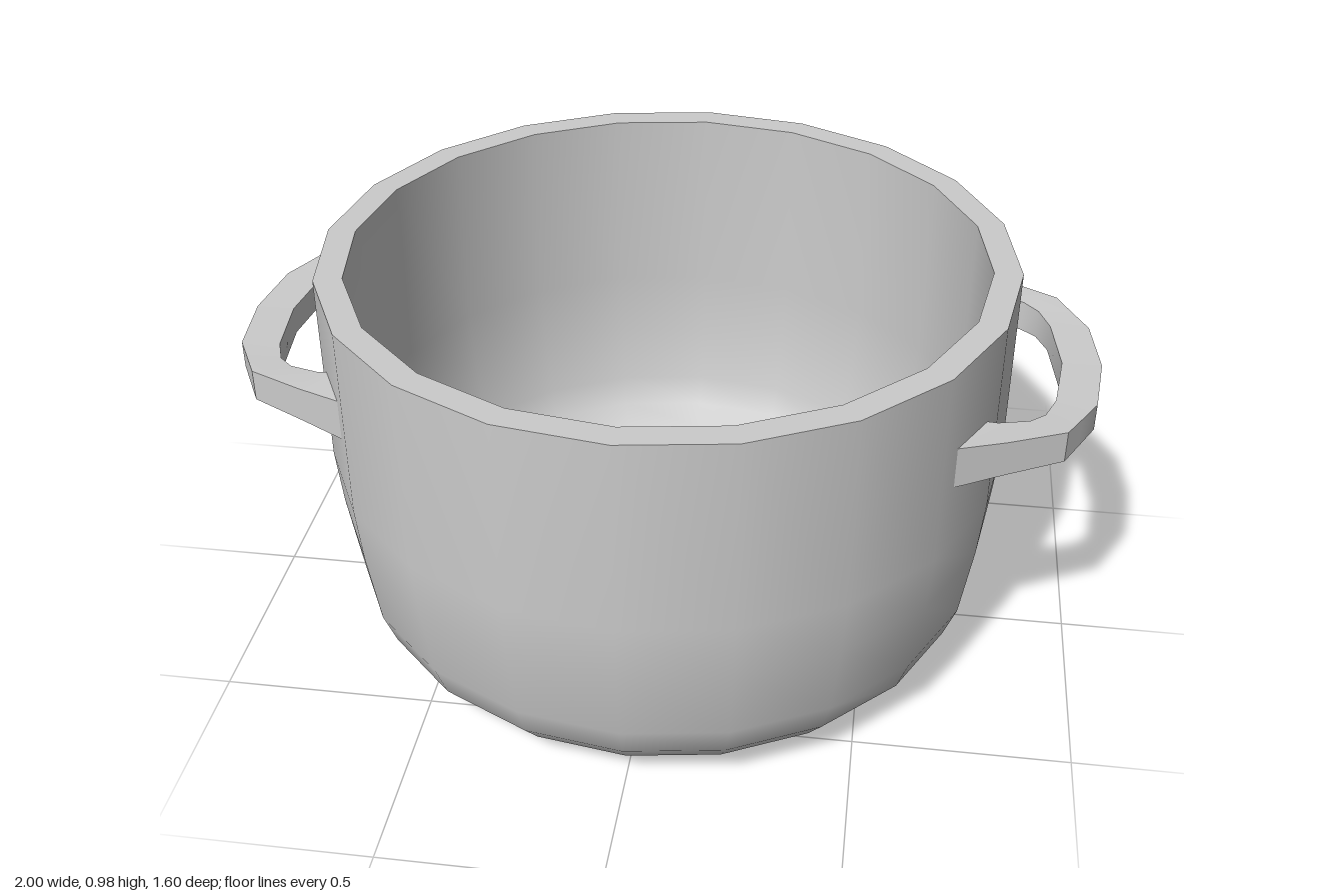
import * as THREE from 'three';
import { toCreasedNormals } from 'three/addons/utils/BufferGeometryUtils.js';

const SIDES = 20;
const material = new THREE.MeshStandardMaterial({ color: 0xcccccc });

// Revolved surface; each one is smooth inside and sharp at its ends
function turned(name, profile) {
  const points = profile.map(([r, y]) => new THREE.Vector2(r, y));
  const mesh = new THREE.Mesh(new THREE.LatheGeometry(points, SIDES), material);
  mesh.name = name;
  return mesh;
}

// Half of the handle: outer x, z, inner x, z, bottom y, top y
const HALF = [
  [0.67, 0.42, 0.70, 0.30, 0.68, 0.78],
  [0.78, 0.365, 0.76, 0.29, 0.686, 0.77],
  [0.91, 0.30, 0.83, 0.265, 0.69, 0.765],
  [0.945, 0.235, 0.865, 0.23, 0.692, 0.762],
  [0.98, 0.17, 0.89, 0.165, 0.695, 0.76],
  [1.00, 0, 0.91, 0, 0.695, 0.76],
];

// Sweep of rectangular sections along the loop
function handleGeometry() {
  const mirrored = HALF.slice(0, -1).reverse()
    .map(([ox, oz, ix, iz, lo, hi]) => [ox, -oz, ix, -iz, lo, hi]);
  const stations = [...HALF, ...mirrored];
  const positions = [];
  const index = [];
  for (const [ox, oz, ix, iz, lo, hi] of stations) {
    positions.push(ox, lo, oz, ox, hi, oz, ix, hi, iz, ix, lo, iz);
  }
  for (let s = 0; s < stations.length - 1; s++) {
    for (let k = 0; k < 4; k++) {
      const a = s * 4 + k;
      const b = s * 4 + (k + 1) % 4;
      index.push(a, a + 4, b + 4, a, b + 4, b);
    }
  }
  // End caps, sunk into the wall
  const e = (stations.length - 1) * 4;
  index.push(0, 1, 2, 0, 2, 3, e, e + 2, e + 1, e, e + 3, e + 2);
  const geometry = new THREE.BufferGeometry();
  geometry.setAttribute('position', new THREE.Float32BufferAttribute(positions, 3));
  geometry.setIndex(index);
  return toCreasedNormals(geometry, 0.6);
}

export function createModel() {
  const model = new THREE.Group();
  model.name = 'cookingPot';

  // Pot body
  const body = new THREE.Group();
  body.name = 'potBody';
  body.add(
    turned('base', [[0, 0], [0.61, 0]]),
    turned('baseChamfer', [[0.61, 0], [0.68, 0.06]]),
    turned('outerWall', [[0.68, 0.06], [0.73, 0.12], [0.76, 0.2], [0.787, 0.38], [0.8, 0.52], [0.8, 0.98]]),
    turned('rim', [[0.8, 0.98], [0.735, 0.98]]),
    turned('innerWall', [[0.735, 0.98], [0.735, 0.52], [0.72, 0.36], [0.695, 0.22],
      [0.665, 0.15], [0.62, 0.1], [0.5, 0.06], [0, 0.06]]),
  );
  model.add(body);

  // Side handles
  const geometry = handleGeometry();
  ['leftHandle', 'rightHandle'].forEach((name, i) => {
    const handle = new THREE.Mesh(geometry, material);
    handle.name = name;
    handle.rotation.y = i * Math.PI;
    model.add(handle);
  });
  return model;
}
